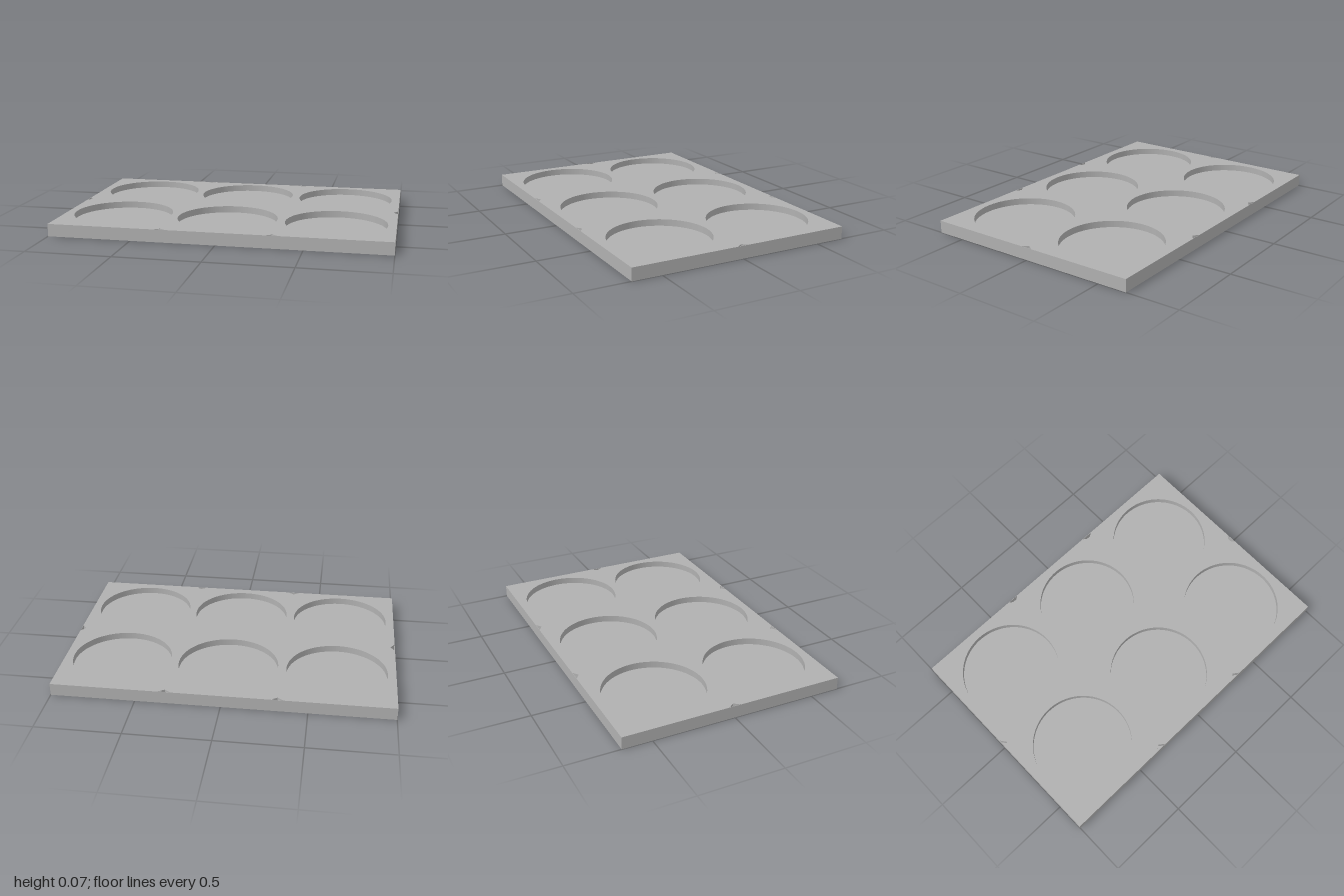
import * as THREE from 'three';

const W = 1, D = 0.677, H = 0.075, FLOOR = 0.035; // half width, half depth, height, recess floor
const LIP = 0.002;                                // thin skin outside the edge pockets

export function createModel() {
  const group = new THREE.Group();
  const grey = new THREE.MeshStandardMaterial({ color: 0xb0b0b0 });
  grey.name = 'grey';

  // Solid floor of the tray
  const base = new THREE.Mesh(new THREE.BoxGeometry(2 * W, FLOOR, 2 * D), grey);
  base.name = 'trayFloor';
  base.position.y = FLOOR / 2;
  group.add(base);

  // Upper plate outline
  const plate = new THREE.Shape([
    new THREE.Vector2(-W, -D), new THREE.Vector2(W, -D),
    new THREE.Vector2(W, D), new THREE.Vector2(-W, D),
  ]);

  // Six round recesses
  for (const x of [-0.65, 0, 0.65]) {
    for (const z of [-0.326, 0.326]) {
      plate.holes.push(new THREE.Path().absarc(x, z, 0.3, 0, Math.PI * 2, true));
    }
  }

  // Small V-shaped pockets along the edges, pointing inwards
  const pocket = (a, b, c) => plate.holes.push(
    new THREE.Path([a, b, c].map(([x, z]) => new THREE.Vector2(x, z))));
  for (const s of [-1, 1]) {
    const zEdge = s * (D - LIP), xEdge = s * (W - LIP);
    for (const x of [-0.325, 0.325]) {
      pocket([x - 0.035, zEdge], [x + 0.035, zEdge], [x, s * (D - 0.027)]);
    }
    pocket([xEdge, -0.035], [xEdge, 0.035], [s * (W - 0.027), 0]);
  }

  const geometry = new THREE.ExtrudeGeometry(plate, {
    depth: H - FLOOR, bevelEnabled: false, curveSegments: 72,
  });
  geometry.rotateX(-Math.PI / 2);
  const top = new THREE.Mesh(geometry, grey);
  top.name = 'recessedPlate';
  top.position.y = FLOOR;
  group.add(top);

  return group;
}
